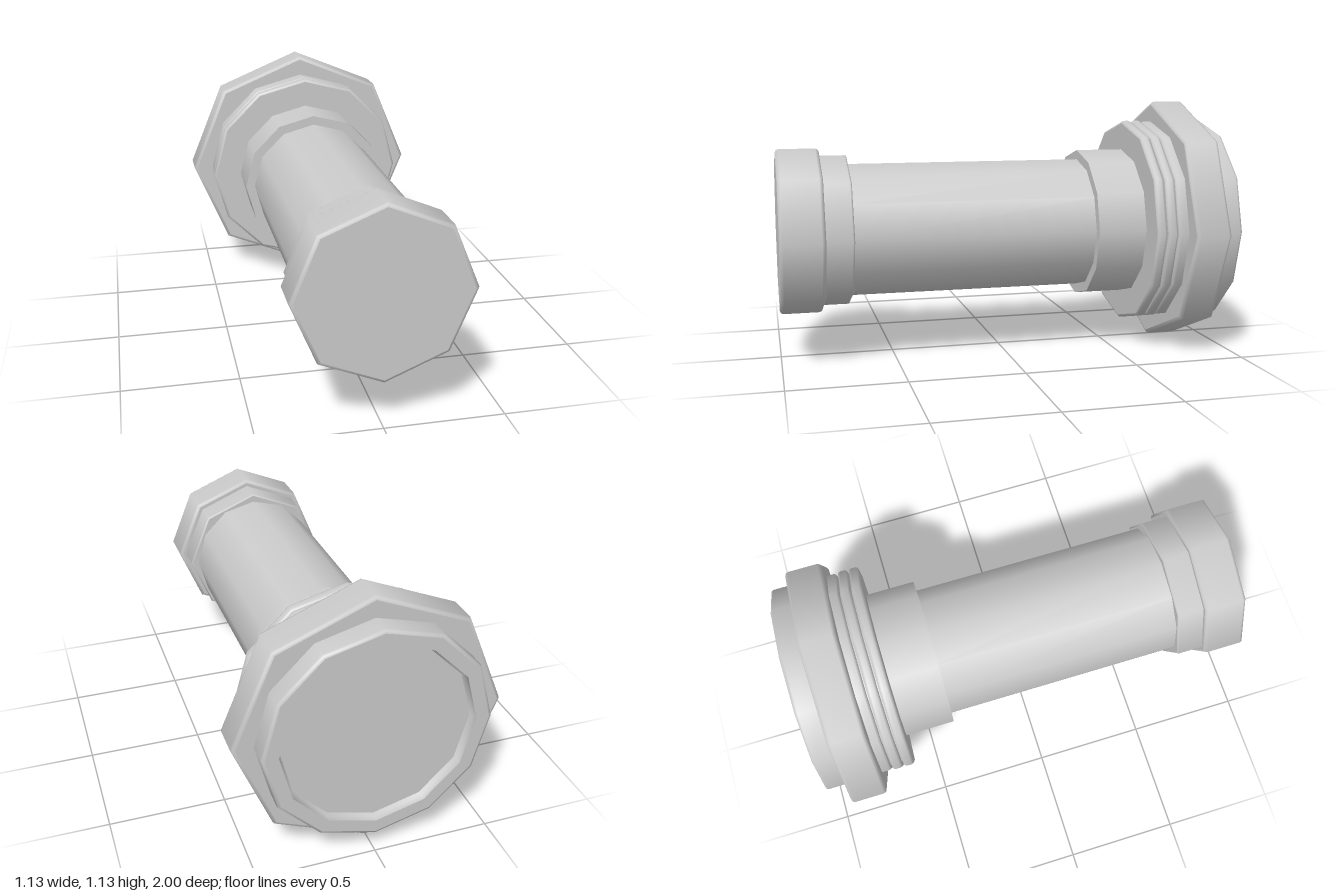
import * as THREE from 'three';
import { mergeGeometries } from 'three/addons/utils/BufferGeometryUtils.js';

const AXIS_HEIGHT = 0.563;

export function createModel() {
  const model = new THREE.Group();
  model.name = 'handle';
  const material = new THREE.MeshStandardMaterial({ color: 0xcccccc });

  // Turns [radius, z] runs (back to front) around the long axis; each run is smooth, joints are sharp.
  function turned(name, sides, runs) {
    const parts = runs.map((run) =>
      new THREE.LatheGeometry(run.map(([r, z]) => new THREE.Vector2(r, z)), sides));
    const geometry = mergeGeometries(parts);
    geometry.rotateX(Math.PI / 2);
    const mesh = new THREE.Mesh(geometry, material);
    mesh.name = name;
    mesh.position.y = AXIS_HEIGHT;
    model.add(mesh);
    return mesh;
  }

  // Side wall with rounded rims of size b
  function wall(r, z0, z1, b) {
    const k = b * 0.3;
    return [
      [r - b, z0], [r - k, z0 + k], [r, z0 + b],
      [r, z1 - b], [r - k, z1 - k], [r - b, z1],
    ];
  }

  // Solid disc: back cap, wall, front cap
  function disc(name, sides, r, z0, z1, b) {
    return turned(name, sides, [
      [[0, z0], [r - b, z0]],
      wall(r, z0, z1, b),
      [[r - b, z1], [0, z1]],
    ]);
  }

  // Plain sleeve with square rims
  function sleeve(name, sides, r, z0, z1) {
    return turned(name, sides, [
      [[0, z0], [r, z0]],
      [[r, z0], [r, z1]],
      [[r, z1], [0, z1]],
    ]);
  }

  // Front end
  disc('frontCap', 8, 0.368, 0.81, 1, 0.016);
  disc('frontCollar', 8, 0.336, 0.69, 0.82, 0.008);

  // Grip
  sleeve('shaft', 12, 0.297, -0.4, 0.7);
  sleeve('rearSleeve', 12, 0.34, -0.62, -0.38);

  // Stacked thin rings with a core that fills the grooves
  [[-0.645, -0.6, 0.474], [-0.695, -0.65, 0.474], [-0.76, -0.7, 0.47]].forEach(([z0, z1, r], i) =>
    disc(`thinRing${i + 1}`, 12, r, z0, z1, 0.012));
  sleeve('ringCore', 12, 0.45, -0.76, -0.61);

  // Wide octagonal flange
  disc('flange', 8, 0.563, -0.905, -0.745, 0.016);

  // Rear rim with a shallow recess
  const rimRadius = 0.474, recessRadius = 0.405, floor = -0.965, bevel = 0.014;
  turned('rearRim', 12, [
    [[0, floor], [recessRadius - 0.012, floor]],
    [[recessRadius - 0.012, floor], [recessRadius, floor - 0.01], [recessRadius, -1]],
    [[recessRadius, -1], [rimRadius - bevel, -1]],
    wall(rimRadius, -1, -0.89, bevel),
  ]);

  return model;
}
